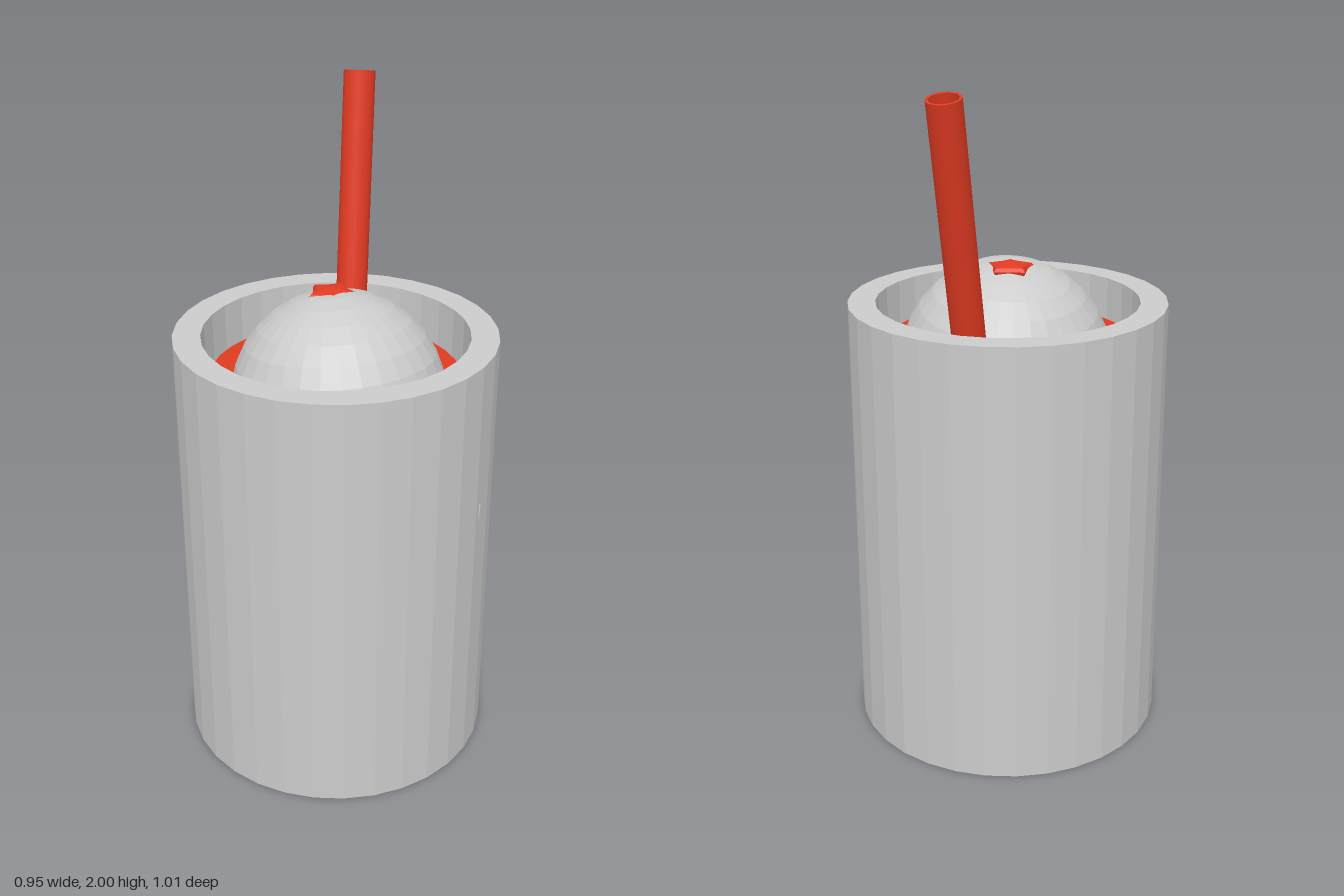
import * as THREE from 'three';
import { toCreasedNormals } from 'three/addons/utils/BufferGeometryUtils.js';

const V2 = (x, y) => new THREE.Vector2(x, y);

export function createModel() {
  const group = new THREE.Group();
  const grey = new THREE.MeshStandardMaterial({ color: 0xcccccc, flatShading: true });
  const red = new THREE.MeshStandardMaterial({ color: 0xe03a22, flatShading: true });
  const redSmooth = new THREE.MeshStandardMaterial({ color: 0xe03a22 });

  const add = (name, geometry, material, x, y, z) => {
    const mesh = new THREE.Mesh(geometry, material);
    mesh.name = name;
    mesh.position.set(x, y, z);
    group.add(mesh);
    return mesh;
  };

  // Thick-walled tumbler with a closed floor
  const cz = 0.03;
  const wall = [V2(0, 0), V2(0.475, 0), V2(0.475, 1.345), V2(0.393, 1.345), V2(0.393, 0.08), V2(0, 0.08)];
  add('glass', new THREE.LatheGeometry(wall, 32), grey, 0, 0, cz);

  // Drink filling the tumbler, slightly narrower than the inner wall
  add('drink', new THREE.CylinderGeometry(0.37, 0.37, 1.12, 32), red, 0, 0.66, 0.04);

  // Scoop floating in the drink, leaning a little to the back
  const scoop = add('scoop', new THREE.SphereGeometry(0.32, 32, 16), grey, 0.01, 1.145, 0.042);
  scoop.rotation.set(-0.1, 0, 0.08);

  // Five-pointed topping: a shallow dome whose alternate ribs are pulled in
  const star = new THREE.LatheGeometry(
    [V2(0.06, -0.06), V2(0.076, -0.022), V2(0.066, -0.012), V2(0, 0)], 10);
  const p = star.attributes.position;
  for (let i = 0; i < p.count; i++) {
    const rib = Math.floor(i / 4);
    const k = rib % 2 ? 1 : 0.72;
    p.setX(i, p.getX(i) * k);
    p.setZ(i, p.getZ(i) * k);
  }
  const topping = add('topping', star, red, -0.018, 1.472, -0.004);
  topping.rotation.y = Math.PI / 2 - Math.PI / 5;

  // Hollow straw leaning towards the back
  const len = 1.9, lean = 0.232;
  const tube = [V2(0.04, -len), V2(0.048, -len), V2(0.048, 0), V2(0.04, 0), V2(0.04, -len)];
  const straw = add('straw', toCreasedNormals(new THREE.LatheGeometry(tube, 24), 0.7),
    redSmooth, 0, 1.989, -0.457);
  straw.rotation.x = -lean;

  // Ice cubes around the drink, showing in the gap beside the wall
  const cube = new THREE.BoxGeometry(0.16, 0.16, 0.16);
  for (let i = 0; i < 10; i++) {
    const a = i * 0.628 + 0.15;
    const ice = add('iceCube', cube, grey,
      0.275 * Math.cos(a), 0.35 + 0.13 * ((i * 3) % 6), cz + 0.275 * Math.sin(a));
    ice.rotation.set(0.2 * Math.sin(i * 2.1), 0.4 - a + 0.5 * Math.cos(i * 1.7), 0.25 * Math.cos(i * 1.3));
  }

  // One cube whose edge just breaks through the wall
  const a = 0.345;
  const stray = add('iceCubeInWall', new THREE.BoxGeometry(0.18, 0.18, 0.18), grey,
    0.345 * Math.cos(a), 0.81, cz + 0.345 * Math.sin(a));
  stray.rotation.set(0.03, Math.PI / 4 - a, -0.06);

  return group;
}
